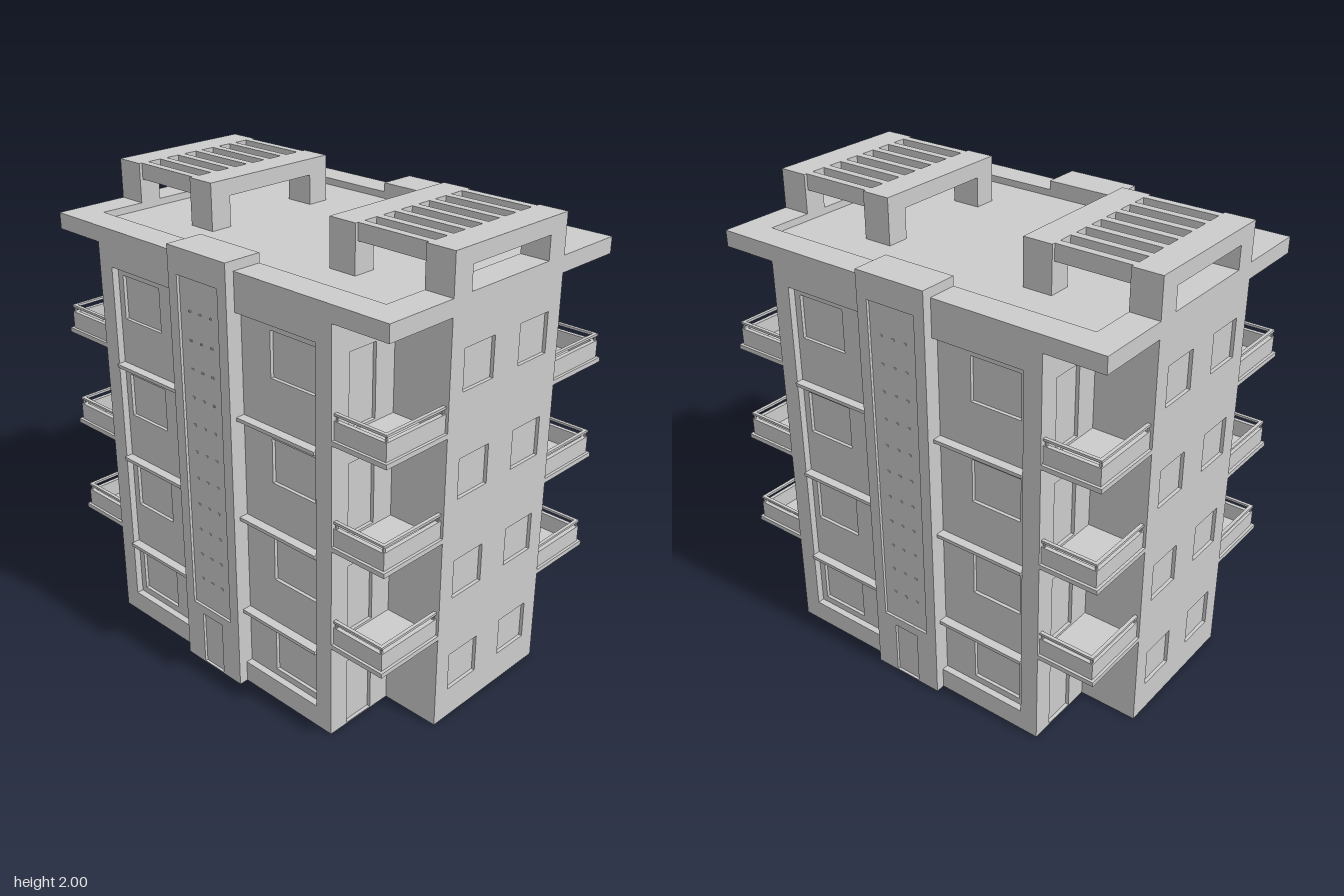
import * as THREE from 'three';

const material = new THREE.MeshStandardMaterial({ color: 0xcccccc, flatShading: true });
const FLOOR = 0.44; // storey height
const ROOF = 1.76; // underside of the roof slab

// Box given by its two opposite corners
function block(parent, name, x0, x1, y0, y1, z0, z1) {
  const mesh = new THREE.Mesh(new THREE.BoxGeometry(x1 - x0, y1 - y0, z1 - z0), material);
  mesh.position.set((x0 + x1) / 2, (y0 + y1) / 2, (z0 + z1) / 2);
  mesh.name = name;
  parent.add(mesh);
  return mesh;
}

function corners(x0, x1, y0, y1) {
  return [[x0, y0], [x1, y0], [x1, y1], [x0, y1]].map(([x, y]) => new THREE.Vector2(x, y));
}

// Flat panel with rectangular openings, extruded towards +z; rects are [x0, x1, y0, y1]
function panel(parent, name, outer, holes, z0, z1) {
  const shape = new THREE.Shape(corners(...outer));
  holes.forEach((h) => shape.holes.push(new THREE.Path(corners(...h).reverse())));
  const geometry = new THREE.ExtrudeGeometry(shape, { depth: z1 - z0, bevelEnabled: false });
  const mesh = new THREE.Mesh(geometry, material);
  mesh.position.z = z0;
  mesh.name = name;
  parent.add(mesh);
  return mesh;
}

// Front or back: recessed bays with windows, ledges and the stair tower
function makeFacade() {
  const facade = new THREE.Group();
  const windows = [];
  for (const s of [-1, 1]) {
    for (let i = 0; i < 4; i++) {
      const x = s * 0.435;
      windows.push([x - 0.115, x + 0.115, 0.125 + i * FLOOR, 0.315 + i * FLOOR]);
    }
  }
  panel(facade, 'windowWall', [-0.66, 0.66, 0, ROOF], windows, 0.615, 0.63);
  panel(facade, 'bayFrame', [-0.66, 0.66, 0, ROOF],
    [[-0.58, -0.165, 0.095, 1.67], [0.165, 0.58, 0.095, 1.67]], 0.63, 0.66);

  for (const s of [-1, 1]) {
    for (let i = 0; i < 3; i++) {
      const y = 0.35 + i * FLOOR;
      block(facade, 'floorLedge', s * 0.3725 - 0.2075, s * 0.3725 + 0.2075, y, y + 0.015, 0.62, 0.67);
    }
  }

  // Stair tower with a sunk panel, entrance and rows of small vents
  const tower = new THREE.Group();
  tower.name = 'stairTower';
  block(tower, 'towerCore', -0.165, 0.165, 0, 1.87, 0.53, 0.688);
  panel(tower, 'towerFace', [-0.165, 0.165, 0, 1.87],
    [[-0.115, 0.115, 0.29, 1.76], [-0.06, 0.06, 0.005, 0.25]], 0.688, 0.70);
  for (let row = 0; row < 11; row++) {
    for (const x of [-0.06, 0, 0.06]) {
      const y = 0.42 + row * 0.12;
      block(tower, 'vent', x - 0.006, x + 0.006, y, y + 0.008, 0.686, 0.691);
    }
  }
  facade.add(tower);
  return facade;
}

// Side wing wall with two windows per storey, built facing +z then turned
function makeWingWall() {
  const windows = [];
  for (const x of [-0.165, 0.165]) {
    for (let i = 0; i < 4; i++) {
      windows.push([x - 0.088, x + 0.088, 0.135 + i * FLOOR, 0.305 + i * FLOOR]);
    }
  }
  const wall = new THREE.Group();
  panel(wall, 'wingWall', [-0.33, 0.33, 0, ROOF], windows, 0.905, 0.92);
  return wall;
}

// Corner balcony for the +x, +z notch, mirrored by the signs sx and sz
function makeBalcony(sx, sz, y) {
  const balcony = new THREE.Group();
  balcony.name = 'balcony';
  const add = (name, x0, x1, y0, y1, z0, z1) =>
    block(balcony, name, Math.min(sx * x0, sx * x1), Math.max(sx * x0, sx * x1),
      y + y0, y + y1, Math.min(sz * z0, sz * z1), Math.max(sz * z0, sz * z1));
  add('balconySlab', 0.64, 0.92, 0, 0.02, 0.31, 0.66);
  add('balconyParapet', 0.66, 0.908, 0.02, 0.095, 0.63, 0.648);
  add('balconyParapet', 0.89, 0.908, 0.02, 0.095, 0.33, 0.63);
  add('handrail', 0.66, 0.908, 0.115, 0.125, 0.633, 0.648);
  add('handrail', 0.893, 0.908, 0.115, 0.125, 0.33, 0.633);
  for (const [x, z] of [[0.67, 0.64], [0.9, 0.64], [0.9, 0.34]]) {
    add('railPost', x - 0.004, x + 0.004, 0.095, 0.115, z - 0.004, z + 0.004);
  }
  return balcony;
}

// Rooftop pergola on the +x side: posts, beams and slats
function makePergola() {
  const pergola = new THREE.Group();
  pergola.name = 'pergola';
  for (const [x0, x1] of [[0.33, 0.46], [0.79, 0.92]]) {
    block(pergola, 'pergolaBeam', x0, x1, 1.93, 2, -0.33, 0.33);
    block(pergola, 'pergolaPost', x0, x1, 1.8, 1.93, 0.23, 0.33);
    block(pergola, 'pergolaPost', x0, x1, 1.8, 1.93, -0.33, -0.23);
  }
  for (let i = -3; i <= 3; i++) {
    const z = i * 0.0995;
    block(pergola, 'pergolaSlat', 0.46, 0.79, 1.93, 2, z - 0.0175, z + 0.0175);
  }
  return pergola;
}

export function createModel() {
  const model = new THREE.Group();
  model.name = 'apartmentBuilding';

  // Cross-shaped body
  block(model, 'mainCore', -0.645, 0.645, 0, ROOF, -0.615, 0.615);
  block(model, 'wingCore', -0.905, 0.905, 0, ROOF, -0.33, 0.33);

  for (const s of [-1, 1]) {
    const facade = makeFacade();
    facade.name = s > 0 ? 'frontFacade' : 'backFacade';
    facade.rotation.y = s > 0 ? 0 : Math.PI;
    model.add(facade);

    const wing = makeWingWall();
    wing.name = s > 0 ? 'leftWing' : 'rightWing';
    wing.rotation.y = s * Math.PI / 2;
    model.add(wing);

    const pergola = makePergola();
    pergola.rotation.y = s > 0 ? 0 : Math.PI;
    model.add(pergola);
  }

  // Balcony doors and balconies in the four corner notches
  for (const sx of [-1, 1]) {
    for (const sz of [-1, 1]) {
      const doors = [];
      const c = -sx * sz * 0.5;
      for (let i = 0; i < 4; i++) {
        doors.push([c - 0.07, c + 0.07, i * FLOOR + 0.005, i * FLOOR + 0.31]);
      }
      const side = -sx * sz;
      const outer = [Math.min(side * 0.33, side * 0.615), Math.max(side * 0.33, side * 0.615), 0, ROOF];
      const doorWall = new THREE.Group();
      doorWall.name = 'doorWall';
      panel(doorWall, 'balconyDoorWall', outer, doors, 0.645, 0.66);
      doorWall.rotation.y = sx * Math.PI / 2;
      model.add(doorWall);
      for (let i = 0; i < 3; i++) model.add(makeBalcony(sx, sz, 0.415 + i * FLOOR));
    }
  }

  // Roof slab with a low parapet rim
  block(model, 'roofSlab', -0.92, 0.92, ROOF, 1.8, -0.66, 0.66);
  const rim = panel(model, 'roofParapet', [-0.92, 0.92, -0.66, 0.66], [[-0.79, 0.79, -0.53, 0.53]], 0, 0.03);
  rim.rotation.x = -Math.PI / 2;
  rim.position.set(0, 1.8, 0);

  return model;
}
